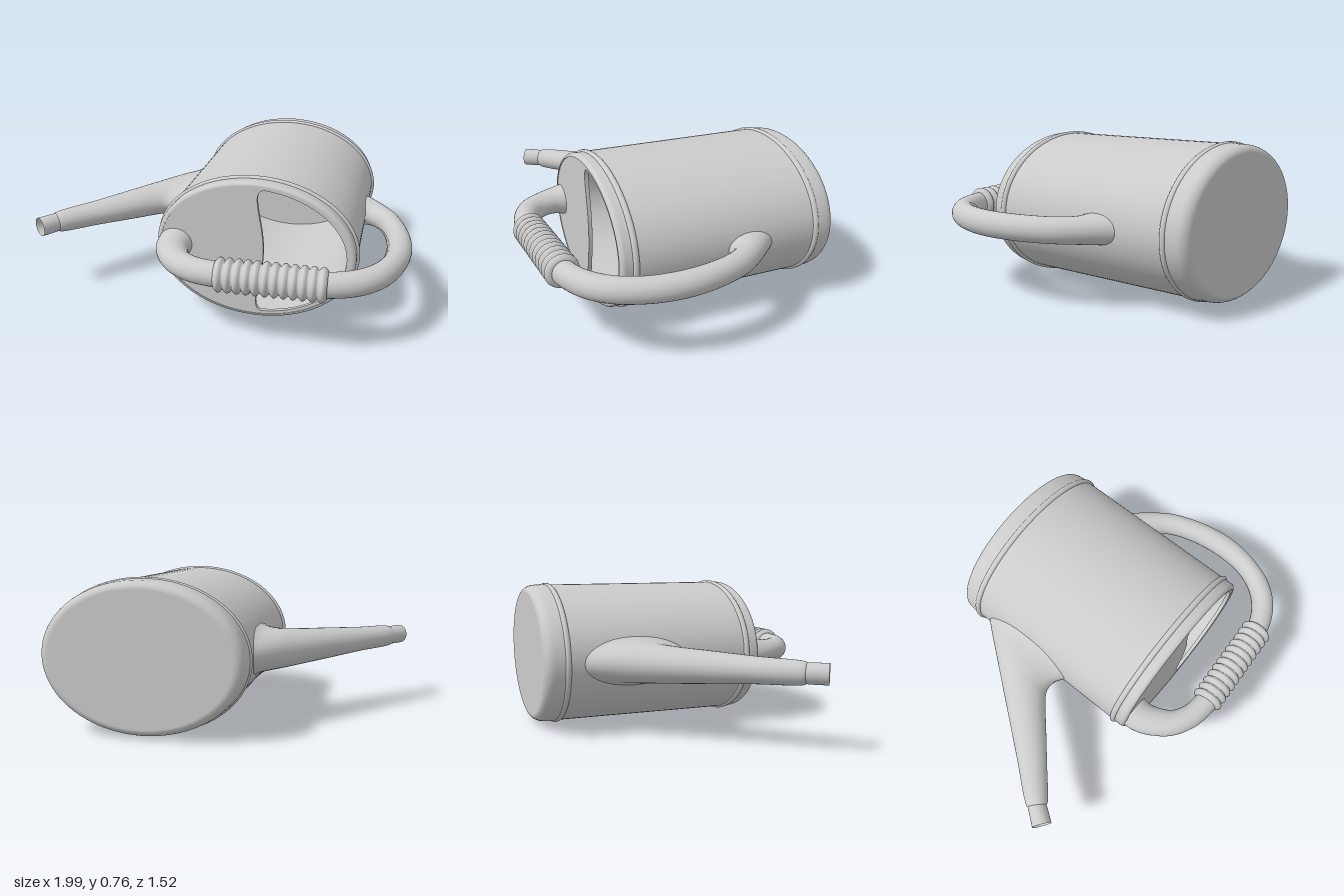
import * as THREE from 'three';

const CX = 0.22, CY = 0.38, SQUASH = 0.73; // oval body: centre and height/width ratio

export function createModel() {
  const group = new THREE.Group();
  const solid = new THREE.MeshStandardMaterial({ color: 0xcccccc });
  const thin = new THREE.MeshStandardMaterial({ color: 0xcccccc, side: THREE.DoubleSide });

  const add = (name, geometry, material = solid) => {
    const mesh = new THREE.Mesh(geometry, material);
    mesh.name = name;
    group.add(mesh);
    return mesh;
  };

  // Turned profile of [radius, z], squashed into an oval along the body axis
  const oval = (profile) => {
    const g = new THREE.LatheGeometry(profile.map(([r, z]) => new THREE.Vector2(r, z)), 96);
    return g.rotateX(Math.PI / 2).scale(1, SQUASH, 1).translate(CX, CY, 0);
  };

  // Quarter-round of profile points from angle a0 to a1
  const arc = (r, z, rad, a0, a1, n = 8) => Array.from({ length: n + 1 }, (_, i) => {
    const a = a0 + (a1 - a0) * i / n;
    return [r + rad * Math.cos(a), z + rad * Math.sin(a)];
  });

  // Smooth tube through oval sections: two side points (x, z) and a half height
  const loft = (rows, steps, sides = 32) => {
    const a = new THREE.CatmullRomCurve3(rows.map((r) => new THREE.Vector3(r[0], r[4], r[1])));
    const b = new THREE.CatmullRomCurve3(rows.map((r) => new THREE.Vector3(r[2], r[4], r[3])));
    const pos = [], index = [];
    for (let i = 0; i <= steps; i++) {
      const p = a.getPoint(i / steps), q = b.getPoint(i / steps);
      for (let j = 0; j < sides; j++) {
        const t = j / sides * Math.PI * 2, c = Math.cos(t) / 2;
        pos.push((p.x + q.x) / 2 + (p.x - q.x) * c, CY + p.y * Math.sin(t), (p.z + q.z) / 2 + (p.z - q.z) * c);
        if (i === steps) continue;
        const k = i * sides + j, n = i * sides + (j + 1) % sides;
        index.push(k, n, k + sides, n, n + sides, k + sides);
      }
    }
    const g = new THREE.BufferGeometry();
    g.setAttribute('position', new THREE.Float32BufferAttribute(pos, 3));
    g.setIndex(index);
    g.computeVertexNormals();
    return g;
  };

  // Hollow body: rounded base, straight wall, small rounded lip, inner wall and floor
  const H = Math.PI / 2;
  add('body', oval([
    [0, -0.76], ...arc(0.455, -0.705, 0.055, -H, 0), [0.515, -0.65], [0.51, -0.63],
    [0.51, 0.32], ...arc(0.487, 0.387, 0.023, 0, H), [0.485, 0.41], [0.485, 0.41],
    [0.485, -0.73], [0.485, -0.73], [0, -0.73],
  ]));

  // Raised bands near both ends
  for (const [name, z] of [['topBand', 0.335], ['baseBand', -0.642]]) {
    add(name, oval(arc(0.507, z, 0.016, -Math.PI, Math.PI, 16)));
  }

  // Top cover, with the filling opening cut out of one half
  const cover = new THREE.Shape();
  cover.absellipse(0, 0, 0.49, 0.49 * SQUASH, 0, Math.PI * 2);
  const opening = new THREE.Path();
  opening.moveTo(0.05, -0.335);
  opening.absellipse(0, 0, 0.465, 0.337, -1.46, 1.46, false);
  opening.quadraticCurveTo(0.015, 0.335, 0.015, 0.28);
  opening.bezierCurveTo(0.02, 0.2, 0.05, 0.12, 0.05, 0);
  opening.bezierCurveTo(0.05, -0.12, 0.02, -0.2, 0.015, -0.28);
  opening.quadraticCurveTo(0.015, -0.335, 0.05, -0.335);
  cover.holes.push(opening);
  add('topCover', new THREE.ExtrudeGeometry(cover, { depth: 0.02, bevelEnabled: false, curveSegments: 48 }))
    .position.set(CX, CY, 0.386);

  // Tapered spout flaring into the side of the body
  add('spout', loft([
    [-0.937, 0.300, -0.863, 0.362, 0.048],
    [-0.936, 0.285, -0.850, 0.357, 0.055],
    [-0.78, 0.08, -0.70, 0.222, 0.066],
    [-0.62, -0.13, -0.56, 0.095, 0.080],
    [-0.46, -0.34, -0.45, -0.005, 0.092],
    [-0.39, -0.432, -0.40, -0.036, 0.098],
    [-0.33, -0.51, -0.34, -0.036, 0.104],
    [-0.29, -0.56, -0.295, -0.01, 0.112],
    [-0.262, -0.60, -0.262, 0.02, 0.125],
  ], 64), thin);
  add('spoutNozzle', loft([
    [-1.0, 0.38, -0.918, 0.44, 0.051],
    [-0.97, 0.34, -0.89, 0.40, 0.051],
    [-0.93, 0.285, -0.855, 0.345, 0.049],
  ], 8), thin);

  // Handle looping from the top cover round to the side of the body
  add('handle', loft([
    [-0.10, 0.395, -0.28, 0.395, 0.085],
    [-0.105, 0.45, -0.275, 0.46, 0.070],
    [-0.09, 0.50, -0.25, 0.53, 0.0625],
    [-0.055, 0.56, -0.17, 0.64, 0.0625],
    [0.01, 0.598, -0.05, 0.71, 0.0625],
    [0.10, 0.61, 0.10, 0.735, 0.0625],
    [0.36, 0.598, 0.36, 0.72, 0.0625],
    [0.62, 0.585, 0.62, 0.705, 0.0625],
    [0.72, 0.54, 0.78, 0.645, 0.0625],
    [0.80, 0.46, 0.89, 0.54, 0.0625],
    [0.85, 0.35, 0.965, 0.37, 0.0625],
    [0.865, 0.20, 0.99, 0.20, 0.0625],
    [0.85, 0.05, 0.97, 0.03, 0.0625],
    [0.815, -0.07, 0.905, -0.16, 0.0625],
    [0.78, -0.13, 0.83, -0.27, 0.064],
    [0.75, -0.145, 0.77, -0.34, 0.068],
    [0.715, -0.14, 0.715, -0.40, 0.074],
  ], 128));

  // Ribbed grip sleeve
  const ribs = 12, length = 0.53, n = ribs * 8;
  const profile = [new THREE.Vector2(0.055, -length / 2)];
  for (let i = 0; i <= n; i++) {
    const wave = Math.abs(Math.sin(i / 8 * Math.PI));
    profile.push(new THREE.Vector2(0.066 + 0.019 * wave, (i / n - 0.5) * length));
  }
  profile.push(new THREE.Vector2(0.055, length / 2));
  const grip = add('grip', new THREE.LatheGeometry(profile, 32).rotateZ(-H));
  grip.position.set(0.36, CY, 0.66);
  grip.rotation.y = 0.047;

  return group;
}
